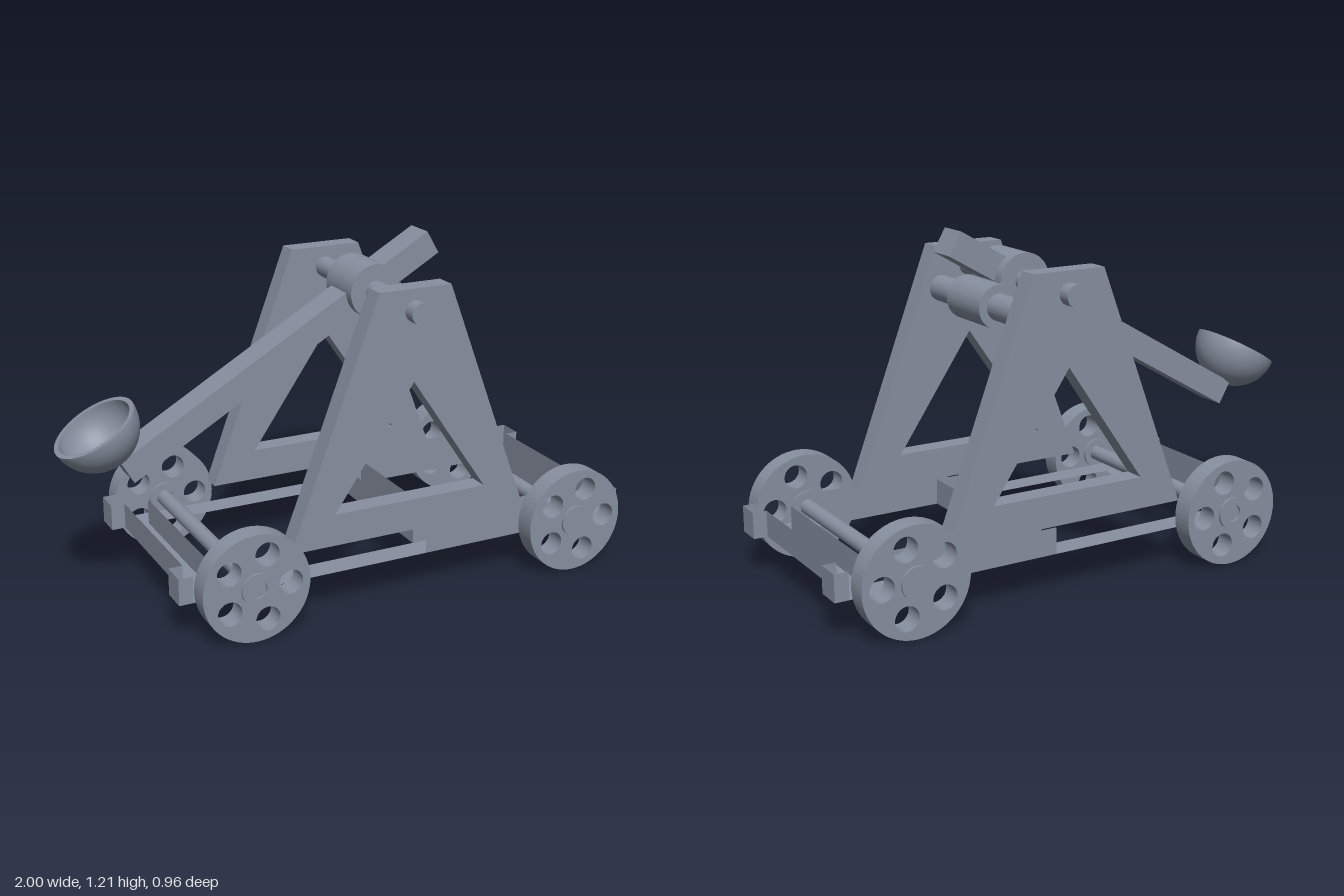
import * as THREE from 'three';

const steel = new THREE.MeshStandardMaterial({ color: 0x8790a0 });
steel.name = 'blueGrey';
const steelSheet = new THREE.MeshStandardMaterial({ color: 0x8790a0, side: THREE.DoubleSide });
steelSheet.name = 'blueGreySheet';

export function createModel() {
  const model = new THREE.Group();
  model.name = 'catapult';

  const add = (name, geometry, x, y, z, material = steel) => {
    const mesh = new THREE.Mesh(geometry, material);
    mesh.name = name;
    mesh.position.set(x, y, z);
    model.add(mesh);
    return mesh;
  };
  // Round bar lying along z
  const bar = (name, r, length, x, y, z = 0) =>
    add(name, new THREE.CylinderGeometry(r, r, length, 40).rotateX(Math.PI / 2), x, y, z);
  // Extrusion along z, centred on its thickness
  const slab = (shape, depth) =>
    new THREE.ExtrudeGeometry(shape, { depth, bevelEnabled: false, curveSegments: 32 })
      .translate(0, 0, -depth / 2);
  const circle = (Kind, x, y, r) => {
    const path = new Kind();
    path.absarc(x, y, r, 0, Math.PI * 2, false);
    return path;
  };
  const polygon = (Kind, points) => new Kind(points.map(([x, y]) => new THREE.Vector2(x, y)));

  // Chassis: an open-topped tray made of sheets
  const low = 0.146, high = 0.241, midY = (low + high) / 2, tall = high - low;
  const inner = 0.29, outer = 0.383;
  const floor = (name, x0, x1, z0, z1) =>
    add(name, new THREE.PlaneGeometry(x1 - x0, z1 - z0).rotateX(-Math.PI / 2),
      (x0 + x1) / 2, low, (z0 + z1) / 2, steelSheet);
  const sideWall = (name, x0, x1, z) =>
    add(name, new THREE.PlaneGeometry(x1 - x0, tall), (x0 + x1) / 2, midY, z, steelSheet);
  const crossWall = (name, x, z0, z1) =>
    add(name, new THREE.PlaneGeometry(z1 - z0, tall).rotateY(Math.PI / 2),
      x, midY, (z0 + z1) / 2, steelSheet);

  for (const [x0, x1] of [[-0.68, -0.59], [0.19, 0.285], [0.86, 0.95]]) {
    floor('crossbarFloor', x0, x1, -inner, inner);
    crossWall('crossbarWall', x0, -inner, inner);
    crossWall('crossbarWall', x1, -inner, inner);
  }
  for (const side of [-1, 1]) {
    const z0 = side > 0 ? inner : -outer, z1 = side > 0 ? outer : -inner;
    floor('railFloor', -0.73, 1, z0, z1);
    for (const [x0, x1] of [[-0.73, -0.68], [0.19, 0.75], [0.95, 1]]) {
      sideWall('railWall', x0, x1, side * inner);
      sideWall('railWall', x0, x1, side * outer);
    }
    crossWall('railEnd', -0.73, z0, z1);
    crossWall('railEnd', 1, z0, z1);
  }

  // A-shaped side frames
  const frame = polygon(THREE.Shape, [[-0.325, 0.241], [0.595, 0.241], [0.27, 1.105], [0, 1.105]]);
  frame.holes.push(polygon(THREE.Path, [[-0.16, 0.355], [0.135, 0.782], [0.425, 0.355]]));
  const frameGeometry = slab(frame, 0.076);
  for (const side of [-1, 1]) add('sideFrame', frameGeometry, 0, 0, side * 0.336);

  // Pivot and stop rods with their sleeves
  bar('pivotRod', 0.038, 0.842, 0.135, 1.028);
  bar('pivotSleeve', 0.096, 0.19, 0.135, 1.028);
  bar('stopRod', 0.047, 0.59, 0.248, 0.952);
  bar('stopSleeve', 0.077, 0.226, 0.248, 0.952);

  // Throwing arm
  const arm = add('throwingArm', new THREE.BoxGeometry(1.335, 0.092, 0.114), -0.197, 0.835, 0);
  arm.rotation.z = Math.PI / 6;

  // Hollow half-sphere cup at the low end of the arm
  const profile = [];
  const n = 20, cupR = 0.153, cupInner = 0.136;
  for (let i = 0; i <= n; i++) {
    const a = (i / n) * Math.PI / 2;
    profile.push(new THREE.Vector2(cupR * Math.sin(a), -cupR * Math.cos(a)));
  }
  // The rim points are doubled so that its edges stay sharp
  profile.push(new THREE.Vector2(cupR - 0.0005, 0), new THREE.Vector2(cupInner + 0.0005, 0));
  for (let i = n; i >= 0; i--) {
    const a = (i / n) * Math.PI / 2;
    profile.push(new THREE.Vector2(cupInner * Math.sin(a), -cupInner * Math.cos(a)));
  }
  const cup = add('cup', new THREE.LatheGeometry(profile, 48), -0.867, 0.66, 0, steelSheet);
  cup.rotation.z = Math.PI / 6;

  // Wheels with five round holes, hubs and axles
  const axleY = 0.193;
  const wheel = circle(THREE.Shape, 0, 0, 0.191);
  for (let i = 0; i < 5; i++) {
    const a = (i * Math.PI * 2) / 5;
    wheel.holes.push(circle(THREE.Path, 0.121 * Math.cos(a), 0.121 * Math.sin(a), 0.043));
  }
  const wheelGeometry = slab(wheel, 0.076);
  const hubRing = circle(THREE.Shape, 0, 0, 0.057);
  hubRing.holes.push(circle(THREE.Path, 0, 0, 0.031));
  const hubRingGeometry = slab(hubRing, 0.094);

  for (const x of [-0.49, 0.757]) {
    bar('axle', 0.028, 0.94, x, axleY);
    for (const side of [-1, 1]) {
      add('wheel', wheelGeometry, x, axleY, side * 0.431);
      if (x < 0) add('hub', hubRingGeometry, x, axleY, side * 0.431);
      else bar('hub', 0.057, 0.094, x, axleY, side * 0.431);
    }
  }
  return model;
}
